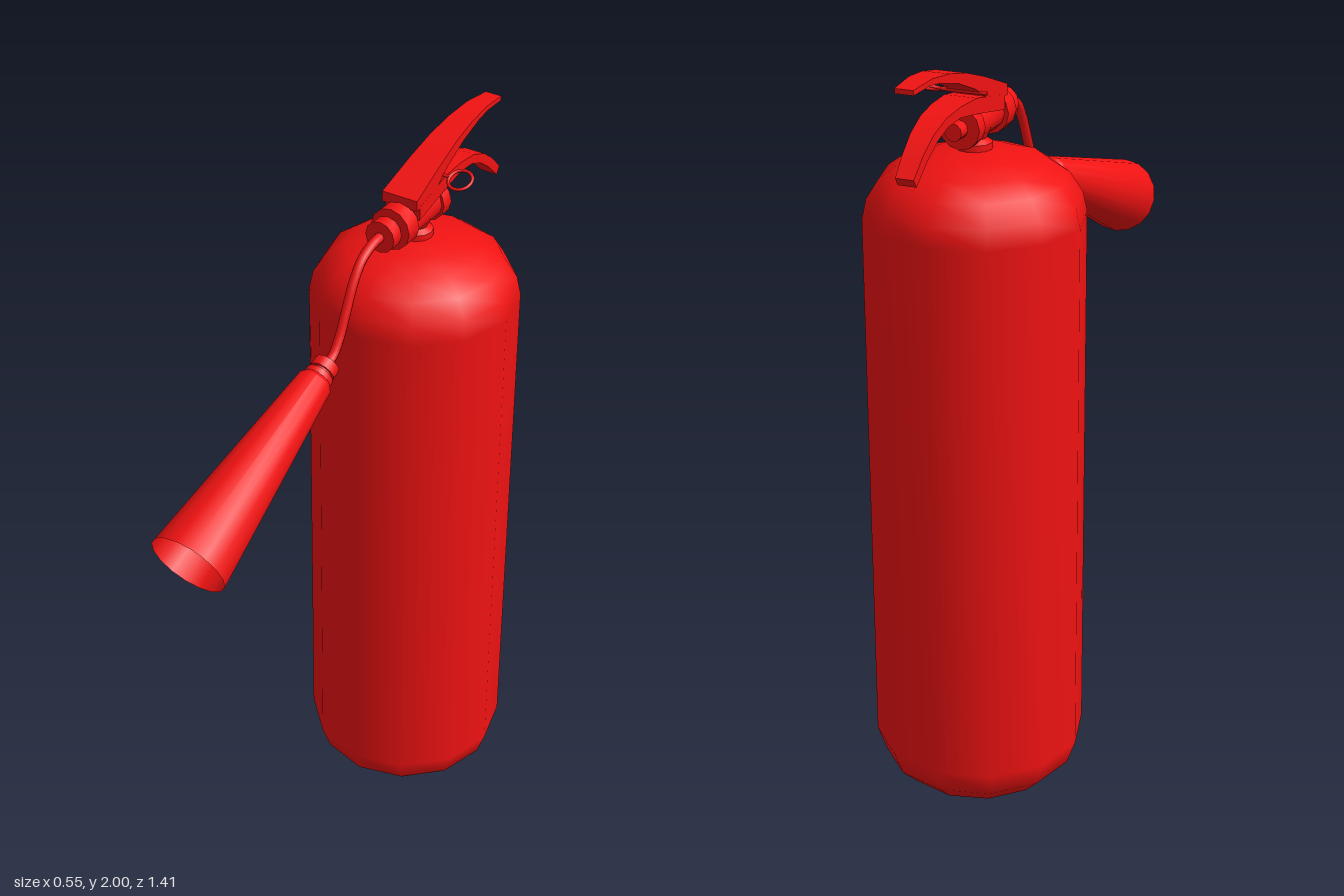
import * as THREE from 'three';
import { toCreasedNormals } from 'three/addons/utils/BufferGeometryUtils.js';

const red = new THREE.MeshStandardMaterial({ color: 0xf01212 });
const redDouble = new THREE.MeshStandardMaterial({ color: 0xf01212, side: THREE.DoubleSide });
const BODY_Z = -0.326;

function part(name, geometry, material = red) {
  const mesh = new THREE.Mesh(geometry, material);
  mesh.name = name;
  return mesh;
}

// Profile points are [radius, height], listed upwards
function lathe(profile, sides, crease) {
  const g = new THREE.LatheGeometry(profile.map(([r, y]) => new THREE.Vector2(r, y)), sides);
  return crease ? toCreasedNormals(g, crease) : g;
}

// Lever: a side outline of [z, y] points, extruded across x and tapered to the rear
function lever(top, bottom) {
  const outline = [...top, ...bottom.slice().reverse()];
  const shape = new THREE.Shape(outline.map(([z, y]) => new THREE.Vector2(-z, y)));
  const g = new THREE.ExtrudeGeometry(shape, { depth: 2, bevelEnabled: false });
  g.translate(0, 0, -1).rotateY(Math.PI / 2);
  const p = g.attributes.position;
  for (let i = 0; i < p.count; i++) {
    const t = (-0.25 - p.getZ(i)) / 0.45;
    p.setX(i, p.getX(i) * THREE.MathUtils.lerp(0.051, 0.023, THREE.MathUtils.clamp(t, 0, 1)));
  }
  return toCreasedNormals(g, 0.5);
}

export function createModel() {
  const model = new THREE.Group();
  model.name = 'fireExtinguisher';

  // Twelve-sided tank with rounded ends
  const tank = part('tank', lathe([
    [0, 0.003], [0.06, 0.008], [0.13, 0.025], [0.2, 0.057], [0.25, 0.105], [0.273, 0.17],
    [0.273, 1.59], [0.262, 1.64], [0.23, 1.69], [0.18, 1.725], [0.11, 1.747], [0.04, 1.76], [0, 1.76],
  ], 12));
  tank.position.z = BODY_Z;
  model.add(tank);

  // Neck between tank and valve
  const neck = part('neck', lathe([
    [0.045, 1.745], [0.045, 1.775], [0.03, 1.785], [0.045, 1.815],
  ], 12, 0.6));
  neck.position.z = BODY_Z;
  model.add(neck);

  // Valve, turned so its length runs along z
  const valve = part('valve', lathe([
    [0, -0.445], [0.022, -0.445], [0.022, -0.41], [0.052, -0.41], [0.052, -0.375], [0.045, -0.375],
    [0.045, -0.25], [0.056, -0.25], [0.056, -0.203], [0.032, -0.203], [0.032, -0.19],
    [0.042, -0.19], [0.042, -0.155], [0, -0.155],
  ], 12, 0.6));
  valve.rotation.x = Math.PI / 2;
  valve.position.y = 1.827;
  model.add(valve);

  // Squeeze lever above, carrying handle below
  model.add(part('squeezeLever', lever(
    [[-0.245, 1.9], [-0.36, 1.945], [-0.45, 1.975], [-0.53, 1.992], [-0.61, 2], [-0.695, 1.994]],
    [[-0.245, 1.872], [-0.33, 1.88], [-0.405, 1.925], [-0.49, 1.96], [-0.57, 1.98], [-0.62, 1.986], [-0.695, 1.982]],
  )));
  model.add(part('carryHandle', lever(
    [[-0.26, 1.878], [-0.4, 1.903], [-0.48, 1.902], [-0.55, 1.892], [-0.61, 1.868], [-0.66, 1.832], [-0.703, 1.79]],
    [[-0.26, 1.84], [-0.4, 1.865], [-0.48, 1.876], [-0.54, 1.87], [-0.59, 1.85], [-0.64, 1.815], [-0.69, 1.77]],
  )));

  // Safety pin with its pull ring
  const pin = new THREE.Group();
  pin.name = 'safetyPin';
  pin.position.set(0, 1.911, -0.382);
  const shaft = part('pinShaft', new THREE.CylinderGeometry(0.005, 0.005, 0.12, 8));
  shaft.rotation.z = Math.PI / 2;
  const ring = part('pinRing', new THREE.TorusGeometry(0.031, 0.0045, 6, 20));
  ring.position.x = 0.092;
  ring.rotation.x = Math.PI / 2 + 0.42;
  pin.add(shaft, ring);
  model.add(pin);

  // Curved hose from valve to horn
  const path = new THREE.CatmullRomCurve3([
    [1.827, -0.17], [1.825, -0.13], [1.802, -0.075], [1.755, -0.037],
    [1.69, -0.005], [1.63, 0.025], [1.593, 0.055], [1.58, 0.09],
  ].map(([y, z]) => new THREE.Vector3(0, y, z)));
  model.add(part('hose', new THREE.TubeGeometry(path, 28, 0.013, 8)));

  // Discharge horn: collar and open flared cone, sloping forward and down
  const horn = new THREE.Group();
  horn.name = 'horn';
  horn.position.set(0, 1.583, 0.078);
  horn.rotation.x = Math.atan2(0.925, -0.381);
  horn.add(part('hornCollar', lathe([
    [0, 0], [0.034, 0], [0.034, 0.027], [0.028, 0.027], [0.028, 0.035], [0.037, 0.035], [0.037, 0.06],
  ], 12, 0.6)));
  horn.add(part('hornCone', lathe([
    [0, 0.05], [0.036, 0.05], [0.046, 0.062], [0.102, 0.638],
  ], 16, 0.6), redDouble));
  model.add(horn);

  return model;
}
